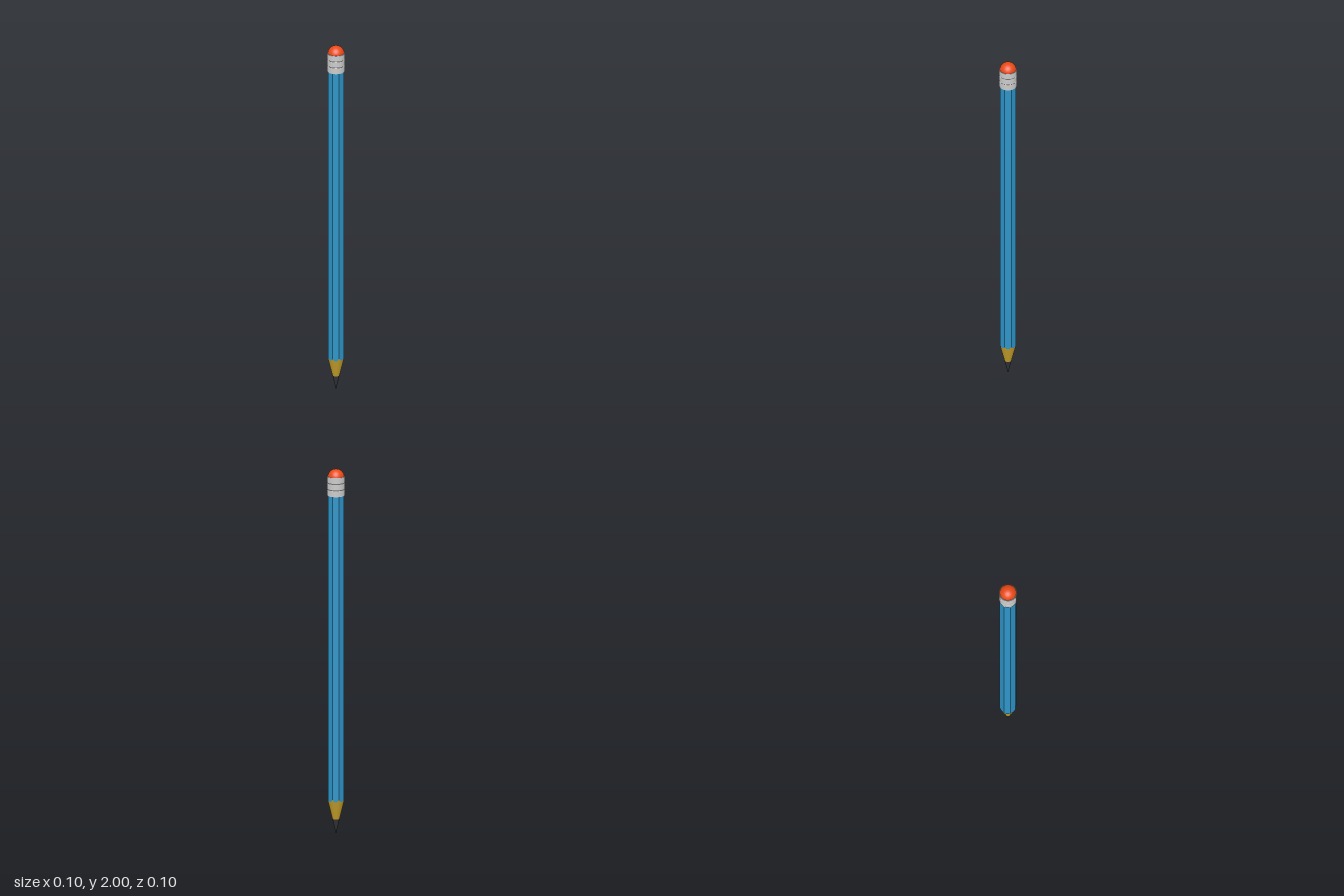
import * as THREE from 'three';

const SIDES = 8, SEGMENTS = 32;
const CORNER = 0.047;            // octagon corner radius
const SLOPE = CORNER / 0.192;    // sharpened cone: radius per unit height
const LEAD_TOP = 0.08, BODY_TOP = 1.86;

// Radius of the octagonal shaft at an angle, with flats facing the axes
function shaftRadius(angle) {
  const step = (2 * Math.PI) / SIDES;
  const off = angle - Math.round(angle / step) * step;
  return (CORNER * Math.cos(step / 2)) / Math.cos(off);
}

// Moves the vertices of one row of a tube by a rule
function reshape(geometry, rule) {
  const p = geometry.attributes.position;
  for (let i = 0; i < p.count; i++) {
    const angle = Math.atan2(p.getX(i), p.getZ(i));
    const next = rule(shaftRadius(angle), p.getY(i));
    if (next) p.setXYZ(i, Math.sin(angle) * next[0], next[1], Math.cos(angle) * next[0]);
  }
  return geometry;
}

function lathe(points) {
  return new THREE.LatheGeometry(points.map(([r, y]) => new THREE.Vector2(r, y)), 48);
}

export function createModel() {
  const group = new THREE.Group();
  const add = (name, geometry, color, options = {}) => {
    const material = new THREE.MeshStandardMaterial({ color, ...options });
    const mesh = new THREE.Mesh(geometry, material);
    mesh.name = name;
    group.add(mesh);
  };

  // Painted shaft, its lower edge scalloped where the cone cuts the flats
  const shaft = new THREE.CylinderGeometry(CORNER, CORNER, BODY_TOP, SEGMENTS, 1, true);
  shaft.translate(0, BODY_TOP / 2, 0);
  reshape(shaft, (r, y) => [r, y > 1 ? BODY_TOP : r / SLOPE]);
  add('shaft', shaft, 0x2f95c8, { flatShading: true });

  // Sharpened wood, following the same cut line
  const coneTop = CORNER / SLOPE;
  const wood = new THREE.CylinderGeometry(CORNER, LEAD_TOP * SLOPE, coneTop - LEAD_TOP, SEGMENTS, 1, true);
  wood.translate(0, (coneTop + LEAD_TOP) / 2, 0);
  reshape(wood, (r, y) => (y > 0.1 ? [r, r / SLOPE] : null));
  add('sharpenedWood', wood, 0xc8a22c);

  // Lead point
  const lead = new THREE.CylinderGeometry(LEAD_TOP * SLOPE, 0.0008, LEAD_TOP, SEGMENTS);
  lead.translate(0, LEAD_TOP / 2, 0);
  add('leadPoint', lead, 0x35353a);

  // Metal sleeve with two pressed grooves
  const R = 0.0478, bottom = 1.855, top = 1.96;
  const profile = [[0.04, bottom], [R, bottom]];
  for (const y of [1.89, 1.925]) {
    profile.push([R, y - 0.003], [R - 0.0015, y], [R, y + 0.003]);
  }
  profile.push([R, top], [0.042, top]);
  add('metalSleeve', lathe(profile), 0xcccccc, { flatShading: true });

  // Rounded eraser
  const E = 0.0455, base = 1.9545;
  const dome = [[E, base - 0.01]];
  for (let i = 0; i <= 12; i++) {
    const a = (i / 12) * Math.PI / 2;
    dome.push([i === 12 ? 0 : E * Math.cos(a), base + E * Math.sin(a)]);
  }
  add('eraser', lathe(dome), 0xe84a17);

  return group;
}
